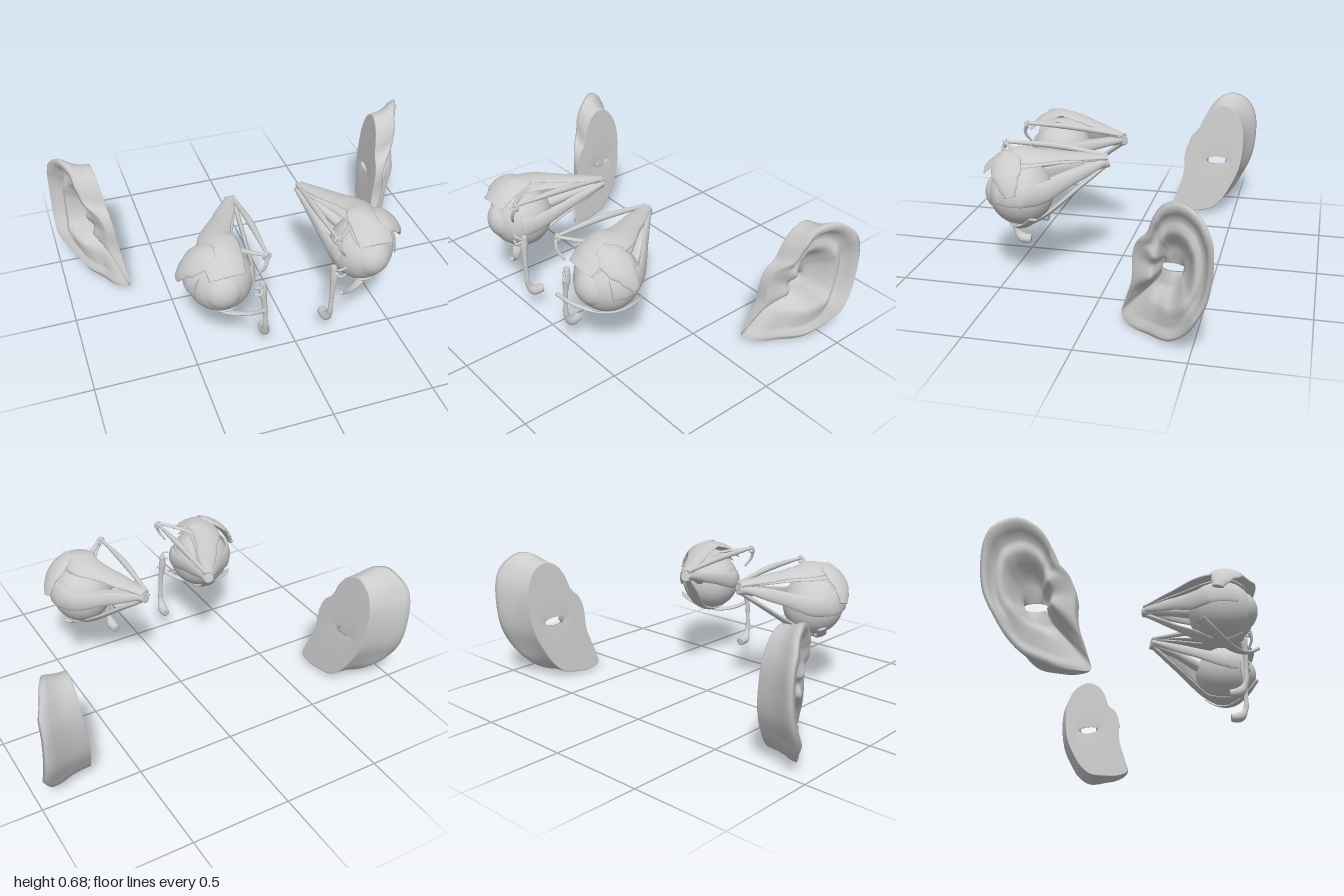
import * as THREE from 'three';

const { lerp, smoothstep, degToRad } = THREE.MathUtils;
const V = (x, y, z) => new THREE.Vector3(x, y, z);
const material = new THREE.MeshStandardMaterial({ color: 0xcccccc });
const APEX = V(0.18, 0.585, 0.04);
const EYE = V(0.355, 0.457, 0.422);
const AXIS = new THREE.Line3(APEX, EYE);

// Smooth surface over rows of points; every row is a closed ring.
function loft(rows, closed = false) {
  const n = rows[0].length, m = rows.length, index = [];
  for (let i = 0; i < (closed ? m : m - 1); i++) {
    for (let j = 0; j < n; j++) {
      const a = i * n + j, b = i * n + (j + 1) % n;
      const c = ((i + 1) % m) * n + j, d = ((i + 1) % m) * n + (j + 1) % n;
      index.push(a, b, d, a, d, c);
    }
  }
  const g = new THREE.BufferGeometry().setFromPoints(rows.flat());
  g.setIndex(index);
  g.computeVertexNormals();
  return g;
}

// Reverse the facing of a geometry.
function flip(g) {
  const a = g.index.array;
  for (let i = 0; i < a.length; i += 3) [a[i], a[i + 1]] = [a[i + 1], a[i]];
  g.computeVertexNormals();
  return g;
}

// Eased value at t in a short, evenly spaced list.
function pick(list, t) {
  const f = t * (list.length - 1), i = Math.min(Math.floor(f), list.length - 2);
  return lerp(list[i], list[i + 1], smoothstep(f - i, 0, 1));
}

// Strand along a path: round, or a flat band when given a thickness.
// Bands curl around the eyeball by the bend.
function strand(path, widths, thick = 0, bend = 0) {
  const curve = new THREE.CatmullRomCurve3(path);
  const rows = [], steps = 36, sides = 20;
  for (let i = 0; i <= steps; i++) {
    const t = i / steps, p = curve.getPoint(t), T = curve.getTangent(t);
    const N = p.clone().sub(AXIS.closestPointToPoint(p, true, V()));
    N.addScaledVector(T, -N.dot(T)).normalize();
    const B = V().crossVectors(T, N);
    const w = pick(widths, t), h = thick ? thick * (1 - 0.4 * t) : w;
    const ring = (k) => Array.from({ length: sides }, (_, j) => {
      const a = j / sides * Math.PI * 2, s = Math.cos(a) * w * k;
      return p.clone().addScaledVector(B, -s).addScaledVector(N, Math.sin(a) * h * k - s * s * bend);
    });
    if (i === 0) rows.push(ring(0.001), ring(0.75));
    rows.push(ring(1));
    if (i === steps) rows.push(ring(0.75), ring(0.001));
  }
  return loft(rows);
}

// Muscle from the apex, straight to where it touches a sphere of radius R
// around the eye, then forward over it to latitude `end`.
function muscle(angle, R, end, width, thick) {
  const a = degToRad(angle), dir = V(Math.cos(a), Math.sin(a), 0);
  const start = APEX.clone().addScaledVector(dir, 0.1 * R);
  const off = APEX.clone().sub(EYE), k = off.dot(dir);
  const touch = Math.atan2(off.z, k) + Math.acos(R / Math.hypot(k, off.z));
  const path = [start];
  for (let i = 0; i <= 3; i++) {
    const lat = lerp(touch, degToRad(end), i / 3);
    path.push(EYE.clone().addScaledVector(dir, R * Math.cos(lat)).add(V(0, 0, R * Math.sin(lat))));
  }
  path.splice(1, 0, start.clone().lerp(path[1], 0.5));
  return strand(path, [0.3, 0.55, 0.85, 1, 1, 0.9].map((f) => f * width), thick, 2.6);
}

// Arc around the eye as seen from the front, with changing radius and depth.
function arc(from, to, r0, r1, z0, z1) {
  return Array.from({ length: 7 }, (_, i) => {
    const t = i / 6, a = degToRad(lerp(from, to, t)), r = lerp(r0, r1, t);
    return V(EYE.x + r * Math.cos(a), EYE.y + r * Math.sin(a), lerp(z0, z1, t));
  });
}

// Outer ear: rings run from the slit across the flat inner plate,
// round the rim and back down into the bowl.
function earGeometry() {
  // Outline as [y, z], from the lobe up the front, over the top and down the back
  const outline = new THREE.CatmullRomCurve3([
    [0.03, -0.15], [0.12, -0.17], [0.25, -0.21], [0.38, -0.215], [0.45, -0.24], [0.5, -0.29],
    [0.58, -0.32], [0.65, -0.37], [0.68, -0.45], [0.64, -0.53], [0.55, -0.58], [0.42, -0.59],
    [0.28, -0.57], [0.17, -0.52], [0.09, -0.47], [0.03, -0.4], [0.01, -0.3], [0.006, -0.22],
  ].map(([y, z]) => V(0, y, z)), true);
  // The rim flares outwards towards the back
  const rim = Array.from({ length: 96 }, (_, i) => {
    const p = outline.getPoint(i / 96);
    const drop = 0.05 * (1 - smoothstep(p.y, 0.03, 0.2)) * smoothstep(-p.z, 0.16, 0.3);
    p.x = 0.985 - 0.29 * ((p.z + 0.59) / 0.44) ** 2 - drop - 0.025 * smoothstep(p.y, 0.58, 0.68);
    return p;
  });
  const plate = (y, z) => 0.68 + 0.11 * y + 0.12 * (-z - 0.16);
  const cy = 0.325, cz = -0.39;
  const slit = (p, lift) => {
    const a = Math.atan2(p.y - cy, p.z - cz);
    const y = cy - 0.005 + 0.022 * Math.sin(a), z = cz + 0.06 * Math.cos(a);
    return V(plate(y, z) + lift, y, z);
  };
  // Back side: k runs from plate edge to rim, h is the height
  const back = (p, k, h) => {
    const y = lerp(p.y * 0.93 + 0.008, p.y, k), z = lerp(-0.16 + (p.z + 0.16) * 0.87, p.z, k);
    return V(lerp(plate(y, z), p.x, h), y, z);
  };
  // Front side: helix ridge, groove, inner ridge and bowl; smooth lobe, raised tragus
  const folds = [1, 1.05, 0.88, 0.7, 0.73, 0.79, 0.75, 0.56, 0.37, 0.24, 0.16];
  const front = (p, f, helix) => {
    const y = lerp(cy, p.y, f), z = lerp(cz, p.z, f);
    const low = 1 - smoothstep(p.y, 0.05, 0.26);
    const fore = smoothstep(p.z, -0.32, -0.22) * (1 - low);
    const lobe = Math.max(helix, 0.88 * smoothstep(f, 0.28, 0.52));
    const tragus = smoothstep(f, 0.24, 0.5) * (2.4 - 1.4 * f);
    return V(plate(y, z) + lerp(lerp(helix, lobe, low), tragus, fore) * (p.x - plate(p.y, p.z)), y, z);
  };
  const rows = [rim.map((p) => slit(p, 0))];
  for (const t of [0.5, 0.98, 1]) rows.push(rim.map((p) => slit(p, 0).lerp(back(p, 0, 0), t)));
  for (const [k, h] of [[0.02, 0.04], [0.12, 0.3], [0.4, 0.55], [0.8, 0.75], [0.97, 0.88]]) {
    rows.push(rim.map((p) => back(p, k, h)));
  }
  folds.forEach((h, i) => rows.push(rim.map((p) => front(p, 1 - 0.074 * i, h))));
  rows.push(rim.map((p) => slit(p, 0.012)));
  return flip(loft(rows, true));
}

export function createModel() {
  const model = new THREE.Group();
  model.name = 'eyesAndEars';
  const left = new THREE.Group(), right = new THREE.Group();
  left.name = 'leftSide';
  right.name = 'rightSide';
  model.add(left, right);

  // Each part is added on the left and mirrored to the right
  const add = (name, geometry) => {
    const mirrored = flip(geometry.clone().scale(-1, 1, 1));
    [[left, geometry], [right, mirrored]].forEach(([side, g]) => {
      const mesh = new THREE.Mesh(g, material);
      mesh.name = name;
      side.add(mesh);
    });
  };

  // Eyeball
  add('eyeball', new THREE.SphereGeometry(0.156, 48, 32).translate(EYE.x, EYE.y, EYE.z));
  add('cornea', new THREE.SphereGeometry(0.103, 40, 16, 0, Math.PI * 2, 0, 0.99)
    .rotateX(Math.PI / 2).translate(0.366, 0.46, 0.492));
  add('opticNerve', strand([V(0.18, 0.582, 0.032), V(0.235, 0.55, 0.15), V(0.32, 0.49, 0.3)], [0.026, 0.022, 0.03]));

  // Muscles
  add('superiorRectus', muscle(90, 0.165, 45, 0.085, 0.012));
  add('eyelidLifter', muscle(88, 0.21, 52, 0.095, 0.012));
  add('lateralRectus', muscle(15, 0.164, 30, 0.062, 0.012));
  add('medialRectus', muscle(172, 0.16, 30, 0.05, 0.012));
  add('inferiorRectus', muscle(268, 0.16, 38, 0.052, 0.012));
  add('inferiorOblique', strand(arc(-147, -34, 0.2, 0.155, 0.595, 0.325), [0.009, 0.015, 0.022, 0.027, 0.025], 0.01, 1));
  add('superiorOblique', strand([V(0.17, 0.61, 0.04), V(0.165, 0.64, 0.3), V(0.17, 0.645, 0.565)], [0.01, 0.016, 0.008]));
  add('obliqueTendon', strand([V(0.17, 0.645, 0.57), V(0.25, 0.633, 0.49), V(0.36, 0.612, 0.36)], [0.008, 0.013, 0.03], 0.008, 2));
  add('trochlea', new THREE.TorusGeometry(0.016, 0.007, 12, 24).translate(0.172, 0.637, 0.56));
  add('innerEyelidLigament', strand([V(0.17, 0.63, 0.57), V(0.185, 0.585, 0.575), V(0.215, 0.535, 0.555)], [0.009, 0.006]));

  // Tear gland and drainage
  add('tearGland', strand(arc(80, 12, 0.2, 0.2, 0.485, 0.412), [0.04, 0.075, 0.075, 0.05, 0.028], 0.018, 2));
  add('tearDuct', strand([
    V(0.176, 0.455, 0.52), V(0.178, 0.4, 0.525), V(0.172, 0.33, 0.53), V(0.168, 0.25, 0.53),
    V(0.165, 0.175, 0.525), V(0.16, 0.13, 0.495), V(0.155, 0.125, 0.45),
  ], [0.014, 0.019, 0.013, 0.011, 0.014, 0.026, 0.022]));
  for (const [name, dy] of [['upperTearCanal', 0.02], ['lowerTearCanal', -0.02]]) {
    add(name, strand([V(0.178, 0.43, 0.525), V(0.195, 0.432 + dy, 0.555), V(0.228, 0.435 + dy, 0.55)], [0.006, 0.005]));
  }

  add('ear', earGeometry());
  return model;
}
